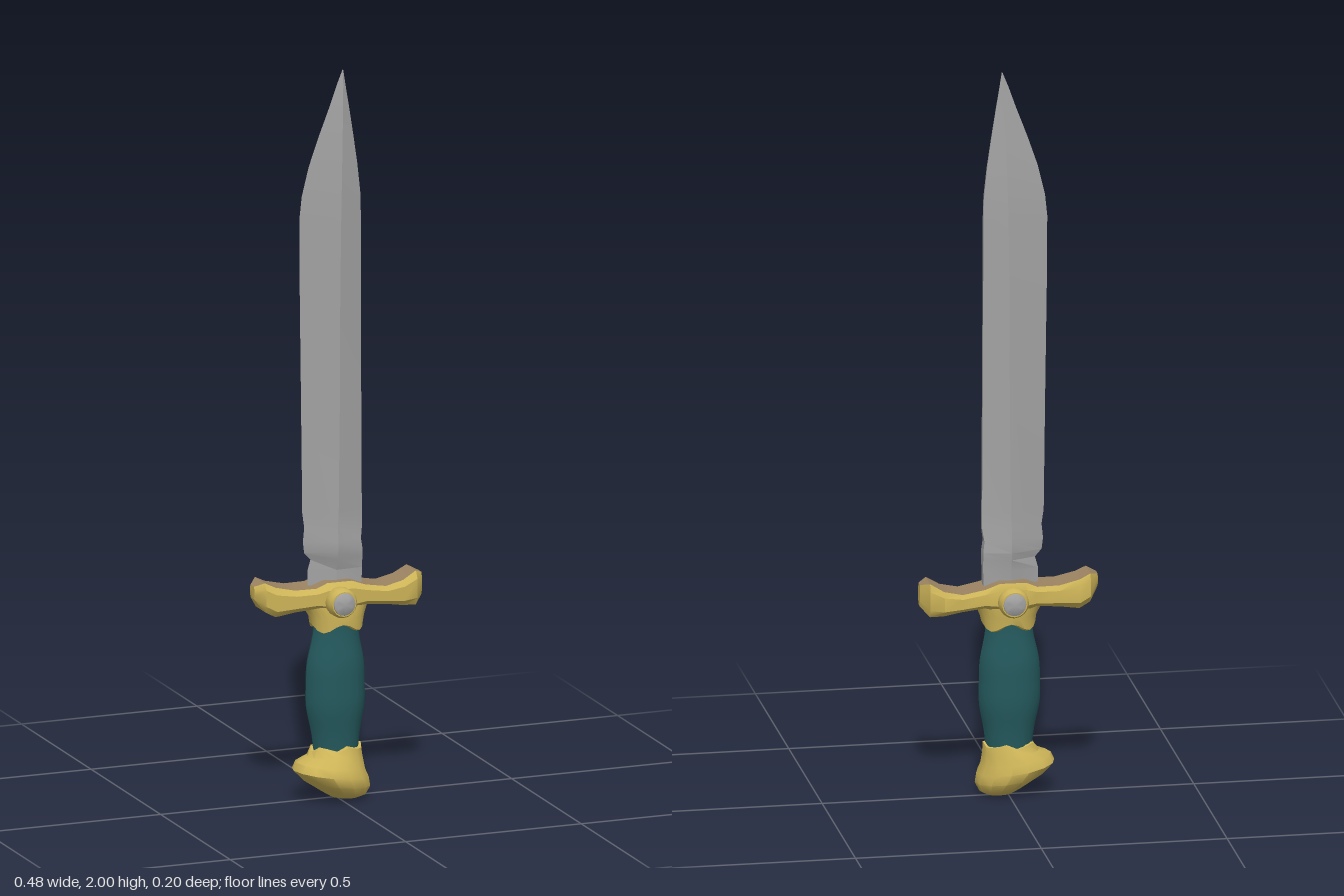
import * as THREE from 'three';
import { toCreasedNormals } from 'three/addons/utils/BufferGeometryUtils.js';

const mat = (name, color) => new THREE.MeshStandardMaterial({ name, color });

// Skins a list of closed rings and caps both ends. slotOf(column) picks the material slot.
function loft(rings, crease = 0.6, slotOf = () => 0) {
  const slots = [[], []];
  const n = rings[0].length;
  const tri = (slot, a, b, c) => slots[slot].push(...a, ...b, ...c);
  for (let i = 0; i < rings.length - 1; i++) {
    for (let j = 0; j < n; j++) {
      const k = (j + 1) % n, s = slotOf(j);
      const [p, q] = [rings[i], rings[i + 1]];
      tri(s, p[j], q[j], q[k]);
      tri(s, p[j], q[k], p[k]);
    }
  }
  const centre = (r) => [0, 1, 2].map((c) => r.reduce((t, p) => t + p[c], 0) / n);
  const first = rings[0], last = rings[rings.length - 1];
  const c0 = centre(first), c1 = centre(last);
  for (let j = 0; j < n; j++) {
    const k = (j + 1) % n;
    tri(0, c0, first[j], first[k]);
    tri(0, c1, last[k], last[j]);
  }
  const geo = new THREE.BufferGeometry();
  geo.setAttribute('position', new THREE.Float32BufferAttribute([...slots[0], ...slots[1]], 3));
  geo.addGroup(0, slots[0].length / 3, 0);
  if (slots[1].length) geo.addGroup(slots[0].length / 3, slots[1].length / 3, 1);
  return toCreasedNormals(geo, crease);
}

// Horizontal oval between x0..x1 and z0..z1; shape(a) may scale the radius, lift(a) moves points up
function oval(y, x0, x1, z0, z1, n, shape = () => 1, lift = () => 0) {
  return Array.from({ length: n }, (_, j) => {
    const a = (j / n) * Math.PI * 2, s = shape(a);
    return [
      (x0 + x1) / 2 + ((x1 - x0) / 2) * Math.cos(a) * s,
      y + lift(a),
      (z0 + z1) / 2 + ((z1 - z0) / 2) * Math.sin(a) * s,
    ];
  });
}

export function createModel() {
  const steel = mat('steel', 0xa2a2a2);
  const gold = mat('gold', 0xcdb458);
  const bronze = mat('bronze', 0x9c8462);
  const teal = mat('teal', 0x24595d);

  const model = new THREE.Group();
  model.name = 'dagger';
  const add = (name, geo, material, parent = model) => {
    const mesh = new THREE.Mesh(geo, material);
    mesh.name = name;
    parent.add(mesh);
    return mesh;
  };

  // Blade: y, cutting edge x, spine x, ridge x, back z, front z, half thickness of spine
  const blade = [
    [0.57, -0.08, 0.068, -0.005, -0.022, 0.014, 0.014],
    [0.63, -0.08, 0.07, -0.005, -0.024, 0.014, 0.014],
    [0.66, -0.072, 0.07, -0.005, -0.03, 0.022, 0.016],
    [0.68, -0.09, 0.07, -0.005, -0.034, 0.028, 0.017],
    [0.71, -0.094, 0.066, -0.005, -0.034, 0.03, 0.014],
    [0.75, -0.09, 0.072, -0.005, -0.031, 0.026, 0.008],
    [0.79, -0.096, 0.071, -0.003, -0.029, 0.026, 0.007],
    [1.1, -0.1, 0.069, 0, -0.028, 0.027, 0.007],
    [1.4, -0.105, 0.067, 0, -0.024, 0.03, 0.006],
    [1.6, -0.107, 0.066, 0.002, -0.02, 0.032, 0.005],
    [1.66, -0.101, 0.064, 0.003, -0.018, 0.032, 0.005],
    [1.74, -0.082, 0.055, 0.005, -0.013, 0.031, 0.004],
    [1.82, -0.055, 0.043, 0.007, -0.006, 0.029, 0.003],
    [1.9, -0.025, 0.03, 0.01, 0.003, 0.025, 0.002],
    [1.96, -0.004, 0.02, 0.012, 0.009, 0.021, 0.001],
    [2.0, 0.012, 0.014, 0.013, 0.014, 0.016, 0.0005],
  ].map(([y, xl, xr, xm, zb, zf, t]) => {
    const zc = (zb + zf) / 2;
    return [[xr, y, zc - t], [xr, y, zc + t], [xm, y, zf], [xl, y, zc], [xm, y, zb]];
  });
  add('blade', loft(blade, 0.25), steel);

  // Crossguard: x, bottom y, top y, back z, front z, with an inlaid top face
  const guard = [
    [-0.239, 0.572, 0.606, -0.016, 0.016],
    [-0.214, 0.538, 0.617, -0.052, 0.04],
    [-0.185, 0.522, 0.603, -0.056, 0.045],
    [-0.13, 0.53, 0.59, -0.058, 0.047],
    [-0.07, 0.535, 0.59, -0.061, 0.051],
    [-0.04, 0.525, 0.603, -0.062, 0.054],
    [0.03, 0.525, 0.603, -0.06, 0.054],
    [0.07, 0.535, 0.588, -0.058, 0.05],
    [0.13, 0.528, 0.577, -0.057, 0.045],
    [0.18, 0.519, 0.588, -0.057, 0.042],
    [0.217, 0.517, 0.61, -0.05, 0.038],
    [0.239, 0.54, 0.6, -0.015, 0.014],
  ].map(([x, yb, yt, zb, zf]) => {
    const dz = (zf - zb) * 0.14, dy = (yt - yb) * 0.22;
    return [
      [x, yt, zf - dz], [x, yt, zb + dz * 0.6], [x, yt - dy, zb], [x, yb + dy, zb],
      [x, yb, zb + dz], [x, yb, zf - dz], [x, yb + dy, zf], [x, yt - dy, zf],
    ];
  });
  add('crossguard', loft(guard, 0.55, (j) => (j === 0 ? 1 : 0)), [gold, bronze]);

  // Collar under the guard, with a scalloped lower rim
  const scallop = (a) => 0.011 * Math.cos(4 * a);
  add('collar', loft([
    oval(0.475, -0.062, 0.06, -0.045, 0.046, 24, undefined, scallop),
    oval(0.478, -0.074, 0.072, -0.052, 0.057, 24, undefined, scallop),
    oval(0.505, -0.077, 0.076, -0.054, 0.058, 24),
    oval(0.53, -0.09, 0.086, -0.057, 0.055, 24),
    oval(0.55, -0.11, 0.1, -0.055, 0.05, 24),
  ], 0.9), gold);

  // Round studs on both faces of the guard
  for (const [name, side, x] of [['frontStud', 1, -0.011], ['backStud', -1, -0.003]]) {
    const stud = new THREE.Group();
    stud.name = name;
    stud.position.set(x, 0.554, 0);
    stud.rotation.x = (side * Math.PI) / 2;
    const setting = [[0, 0.04], [0.038, 0.04], [0.041, 0.055], [0.04, 0.078], [0.034, 0.088], [0, 0.088]];
    const gem = [[0.032, 0.084], [0.03, 0.091], [0.02, 0.096], [0, 0.099]];
    const turn = (pts) => toCreasedNormals(
      new THREE.LatheGeometry(pts.map(([r, h]) => new THREE.Vector2(r, h)), 16), 0.7);
    add('studSetting', turn(setting), gold, stud);
    add('studGem', turn(gem), steel, stud);
    model.add(stud);
  }

  // Grip: swelling oval with a faint crossed wrap
  const grip = [];
  for (let i = 0; i <= 20; i++) {
    const t = i / 20, y = 0.13 + 0.36 * t;
    const swell = Math.pow(Math.sin(Math.PI * t), 1.4);
    const wrap = (a) => 1 + 0.03 * Math.cos(3 * a + 9 * t) * Math.cos(3 * a - 9 * t);
    grip.push(oval(y, -0.063 - 0.024 * swell, 0.058 + 0.02 * swell,
      -0.041 - 0.014 * swell, 0.047 + 0.014 * swell, 24, wrap));
  }
  add('grip', loft(grip, 0.5), teal);

  // Pommel: lopsided knob leaning towards -x at the top and +x at the foot
  const rim = (a) => 0.007 * Math.cos(5 * a);
  const tilt = (k) => (a) => -k * Math.cos(a);
  add('pommel', loft([
    oval(0.008, -0.02, 0.055, -0.022, 0.042, 14, undefined, tilt(0.003)),
    oval(0.022, -0.05, 0.075, -0.044, 0.07, 14, undefined, tilt(0.008)),
    oval(0.05, -0.098, 0.087, -0.066, 0.094, 14, undefined, tilt(0.012)),
    oval(0.078, -0.127, 0.083, -0.073, 0.1, 14, undefined, tilt(0.014)),
    oval(0.1, -0.117, 0.073, -0.066, 0.091, 14, undefined, tilt(0.012)),
    oval(0.125, -0.084, 0.068, -0.054, 0.07, 14),
    oval(0.145, -0.073, 0.067, -0.047, 0.06, 14, undefined, rim),
    oval(0.148, -0.06, 0.056, -0.038, 0.046, 14, undefined, rim),
  ], 0.7), gold);

  return model;
}
